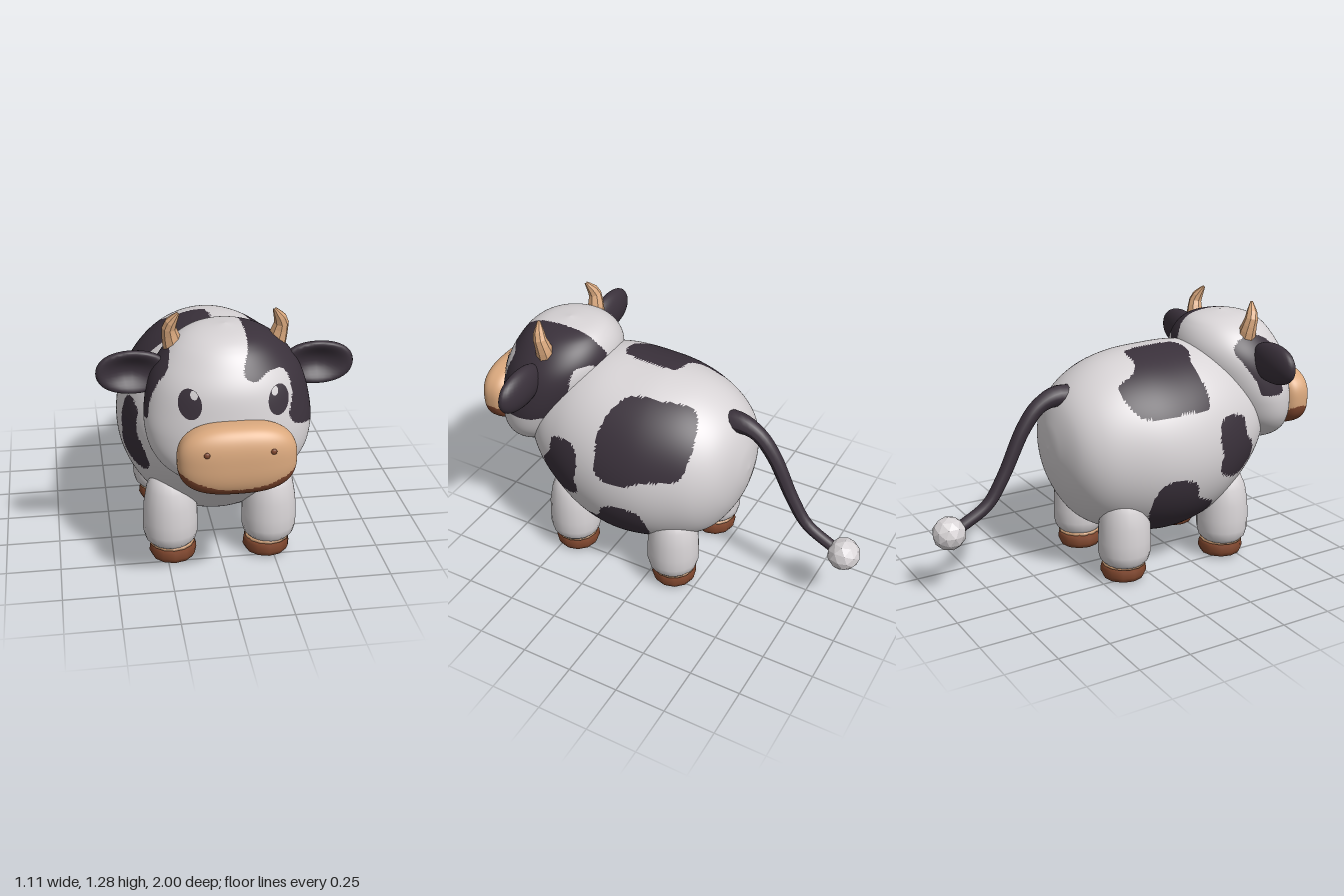
import * as THREE from 'three';
import { mergeVertices } from 'three/addons/utils/BufferGeometryUtils.js';

const V = (x, y, z = 0) => new THREE.Vector3(x, y, z);
const mat = (name, color) => {
  const m = new THREE.MeshStandardMaterial({ color });
  m.name = name;
  return m;
};

// Smooth stack of ellipses; each section is [axis, halfWidth, low, high]
function makeProfile(sections) {
  const a = new THREE.CatmullRomCurve3(sections.map(s => V(s[0], s[1])), false, 'catmullrom');
  const b = new THREE.CatmullRomCurve3(sections.map(s => V(s[2], s[3])), false, 'catmullrom');
  return t => {
    const p = a.getPoint(t), q = b.getPoint(t);
    return { axis: p.x, r: Math.max(p.y, 0), mid: (q.x + q.y) / 2, half: Math.max((q.y - q.x) / 2, 0) };
  };
}

// Skin a profile along y (upright) or along z
function loft(profile, rows, cols, upright) {
  const pos = [], idx = [];
  for (let i = 0; i <= rows; i++) {
    const s = profile(i / rows);
    for (let j = 0; j < cols; j++) {
      const a = (j / cols) * Math.PI * 2;
      if (upright) pos.push(s.r * Math.sin(a), s.axis, s.mid + s.half * Math.cos(a));
      else pos.push(s.r * Math.cos(a), s.mid + s.half * Math.sin(a), s.axis);
      if (i < rows) {
        const k = (j + 1) % cols, p = i * cols, q = p + cols;
        idx.push(p + j, p + k, q + j, p + k, q + k, q + j);
      }
    }
  }
  const g = new THREE.BufferGeometry();
  g.setAttribute('position', new THREE.Float32BufferAttribute(pos, 3));
  g.setIndex(idx);
  g.computeVertexNormals();
  return g;
}

// Sort faces into two material groups by testing each face centre
function paint(g, test) {
  const p = g.attributes.position, src = g.index.array, bins = [[], []];
  for (let i = 0; i < src.length; i += 3) {
    const f = [src[i], src[i + 1], src[i + 2]];
    const avg = k => (p.getComponent(f[0], k) + p.getComponent(f[1], k) + p.getComponent(f[2], k)) / 3;
    bins[test(avg(0), avg(1), avg(2)) ? 1 : 0].push(...f);
  }
  g.setIndex(bins[0].concat(bins[1]));
  g.addGroup(0, bins[0].length, 0);
  g.addGroup(bins[0].length, bins[1].length, 1);
  return g;
}

// Rounded closed outline, returned as an inside test
function blob(points) {
  const c = new THREE.CatmullRomCurve3(points.map(p => V(p[0], p[1])), true).getPoints(70);
  return (x, y) => {
    let inside = false;
    for (let i = 0, j = c.length - 1; i < c.length; j = i++) {
      if ((c[i].y > y) !== (c[j].y > y) &&
        x < ((c[j].x - c[i].x) * (y - c[i].y)) / (c[j].y - c[i].y) + c[i].x) inside = !inside;
    }
    return inside;
  };
}

// Tube whose radius follows a list of values
function taperTube(points, radii, seg, sides) {
  const curve = new THREE.CatmullRomCurve3(points);
  const g = new THREE.TubeGeometry(curve, seg, 1, sides);
  const p = g.attributes.position, n = g.attributes.normal;
  for (let k = 0; k < p.count; k++) {
    const t = Math.floor(k / (sides + 1)) / seg, f = t * (radii.length - 1);
    const i = Math.min(Math.floor(f), radii.length - 2);
    const r = THREE.MathUtils.lerp(radii[i], radii[i + 1], f - i), c = curve.getPointAt(t);
    p.setXYZ(k, c.x + n.getX(k) * r, c.y + n.getY(k) * r, c.z + n.getZ(k) * r);
  }
  g.computeVertexNormals();
  return g;
}

// Sphere reshaped by a rule on its unit vertices
function shapedSphere(w, h, rule) {
  let g = new THREE.SphereGeometry(1, w, h);
  g.deleteAttribute('uv');
  g.deleteAttribute('normal');
  g = mergeVertices(g);
  const p = g.attributes.position;
  for (let i = 0; i < p.count; i++) p.setXYZ(i, ...rule(p.getX(i), p.getY(i), p.getZ(i)));
  g.computeVertexNormals();
  return g;
}

export function createModel() {
  const root = new THREE.Group();
  root.name = 'cow';
  const white = mat('white hide', 0xd8d4d6), black = mat('black hide', 0x3a313b);
  const tan = mat('tan', 0xdba97e), brown = mat('brown', 0x80472e);
  const hornTan = tan.clone();
  hornTan.flatShading = true;
  const tuftWhite = white.clone();
  tuftWhite.flatShading = true;
  const add = (name, geo, material) => {
    const m = new THREE.Mesh(geo, material);
    m.name = name;
    root.add(m);
    return m;
  };

  // Body with hide patches; side outlines are (z, y), the back outline is (x, z)
  const shoulder = blob([[.45, .775], [.31, .785], [.285, .7], [.3, .62], [.29, .545], [.365, .49], [.46, .485], [.525, .54], [.525, .61], [.47, .69]]);
  const belly = blob([[.14, .517], [-.02, .528], [-.055, .437], [-.04, .313], [.03, .19], [.165, .175], [.29, .205], [.32, .287], [.29, .367], [.19, .42]]);
  const flank = blob([[.19, .92], [.13, 1.015], [-.02, 1.025], [-.19, .99], [-.235, .9], [-.21, .74], [-.14, .725], [-.06, .715], [.03, .68], [.165, .695], [.19, .8]]);
  const back = blob([[-.31, -.13], [-.22, -.15], [-.19, -.05], [-.13, -.015], [-.02, 0], [0, .1], [-.02, .265], [-.13, .29], [-.21, .25], [-.38, .25], [-.39, .13], [-.38, 0], [-.35, -.09]]);
  const bodyProfile = makeProfile([
    [-.41, 0, .65, .65], [-.395, .1, .54, .77], [-.35, .23, .41, .885], [-.27, .32, .29, .97],
    [-.15, .385, .215, 1.035], [0, .435, .17, 1.07], [.16, .45, .155, 1.08], [.32, .43, .185, 1.08],
    [.45, .39, .26, 1.05], [.57, .33, .37, .98], [.67, .23, .47, .88], [.73, .1, .56, .76], [.745, 0, .65, .65]]);
  add('body', paint(loft(bodyProfile, 150, 150, false), (x, y, z) =>
    shoulder(z, y) || (Math.abs(x) > .12 && belly(z, y)) ||
    (x > 0 && flank(z, y)) || (y > .65 && back(x, z))), [white, black]);

  // Head with a patch around each ear, outlines are (x, y)
  const leftPatch = blob([[.09, 1.23], [.065, 1.15], [.04, 1.08], [.06, 1.05], [.11, 1.05], [.14, 1.07], [.21, 1.07], [.24, 1.03], [.25, .96], [.235, .89], [.25, .85], [.31, .82], [.42, .81], [.45, 1], [.4, 1.25]]);
  const rightPatch = blob([[-.23, 1.25], [-.245, 1.12], [-.265, 1.06], [-.3, 1.01], [-.33, .945], [-.345, .885], [-.35, .85], [-.45, .82], [-.5, 1], [-.45, 1.25]]);
  const headProfile = makeProfile([
    [.55, 0, .7, .7], [.57, .17, .58, .82], [.62, .27, .53, .87], [.7, .335, .47, .885], [.8, .36, .42, .885],
    [.9, .355, .37, .875], [1, .33, .335, .855], [1.08, .285, .335, .815], [1.15, .215, .37, .76], [1.19, .13, .43, .69], [1.21, 0, .56, .56]]);
  add('head', paint(loft(headProfile, 130, 150, true), (x, y) => leftPatch(x, y) || rightPatch(x, y)), [white, black]);

  // Front surface of the head at (x, y)
  const faceZ = (x, y) => {
    let lo = 0, hi = 1;
    for (let i = 0; i < 30; i++) {
      const m = (lo + hi) / 2;
      if (headProfile(m).axis < y) lo = m; else hi = m;
    }
    const s = headProfile(lo);
    return s.mid + s.half * Math.sqrt(Math.max(0, 1 - (x / s.r) ** 2));
  };
  // Thin oval laid on the face
  const faceOval = (cx, cy, rx, ry, lift) => {
    const g = new THREE.RingGeometry(0, 1, 28, 6), p = g.attributes.position;
    for (let i = 0; i < p.count; i++) {
      const x = cx + p.getX(i) * rx, y = cy + p.getY(i) * ry;
      p.setXYZ(i, x, y, faceZ(x, y) + lift);
    }
    g.computeVertexNormals();
    return g;
  };

  // Muzzle, darker along the mouth
  const e = 2.7;
  const muzzle = shapedSphere(96, 64, (x, y, z) => {
    const k = 1 / (Math.abs(x) ** e + Math.abs(y) ** e + Math.abs(z) ** e) ** (1 / e);
    return [x * k * .25, .745 + y * k * .155, .9 + z * k * .1];
  });
  add('muzzle', paint(muzzle, (x, y) => y < .635 + 1.25 * x * x), [tan, brown]);

  for (const s of [1, -1]) {
    const side = s > 0 ? 'left' : 'right';
    add(side + 'Eye', faceOval(s * .185, .96, .047, .062, .004), black);
    add(side + 'EyeGlint', faceOval(s * .168, 1, .015, .018, .007), white);
    const nostril = add(side + 'Nostril', new THREE.SphereGeometry(.013, 12, 8), brown);
    nostril.position.set(s * .137, .805, .99);
    nostril.scale.z = .6;

    // Cupped ear, hollow at the front
    add(side + 'Ear', shapedSphere(28, 20, (x, y, z) => {
      const depth = z > 0 ? z * (1 - 1.4 * (1 - x * x - y * y)) + .35 : z + .35;
      const fat = 1 - .12 * y * y;
      return [s * .4 + x * .165 / fat * .95, 1.02 + y * .097, .575 + depth * .055];
    }), black);

    // Curved horn
    add(side + 'Horn', taperTube(
      [V(s * .215, 1.09, .56), V(s * .232, 1.16, .565), V(s * .24, 1.21, .575), V(s * .202, 1.28, .6)],
      [.047, .042, .034, .026, .006], 7, 8), hornTan);

    // Legs and hooves
    for (const [end, z] of [['Front', .443], ['Hind', -.125]]) {
      const lathe = (pts, n) => new THREE.LatheGeometry(pts.map(p => new THREE.Vector2(p[0], p[1])), n);
      const place = (part, g, m, x) => add(side + end + part, g, m).position.set(s * x, 0, z);
      place('Leg', lathe([[0, .095], [.098, .097], [.118, .12], [.128, .16], [.128, .22], [.124, .3], [.11, .38], [.08, .45], [0, .48]], 20), white, .232);
      place('Cuff', lathe([[.09, .088], [.106, .09], [.104, .102], [.09, .104]], 14), tan, .226);
      place('Hoof', lathe([[0, .008], [.07, .008], [.1, .022], [.111, .045], [.108, .075], [.1, .094], [0, .098]], 12), brown, .222);
    }
  }

  // Tail and tuft
  add('tail', taperTube(
    [V(0, .885, -.27), V(0, .9, -.36), V(0, .865, -.45), V(0, .77, -.53), V(0, .555, -.64), V(0, .43, -.725), V(0, .345, -.87)],
    [.062, .038, .034, .031, .029, .028], 32, 12), black);
  add('tailTuft', new THREE.IcosahedronGeometry(.08, 1), tuftWhite).position.set(0, .33, -.92);

  return root;
}
